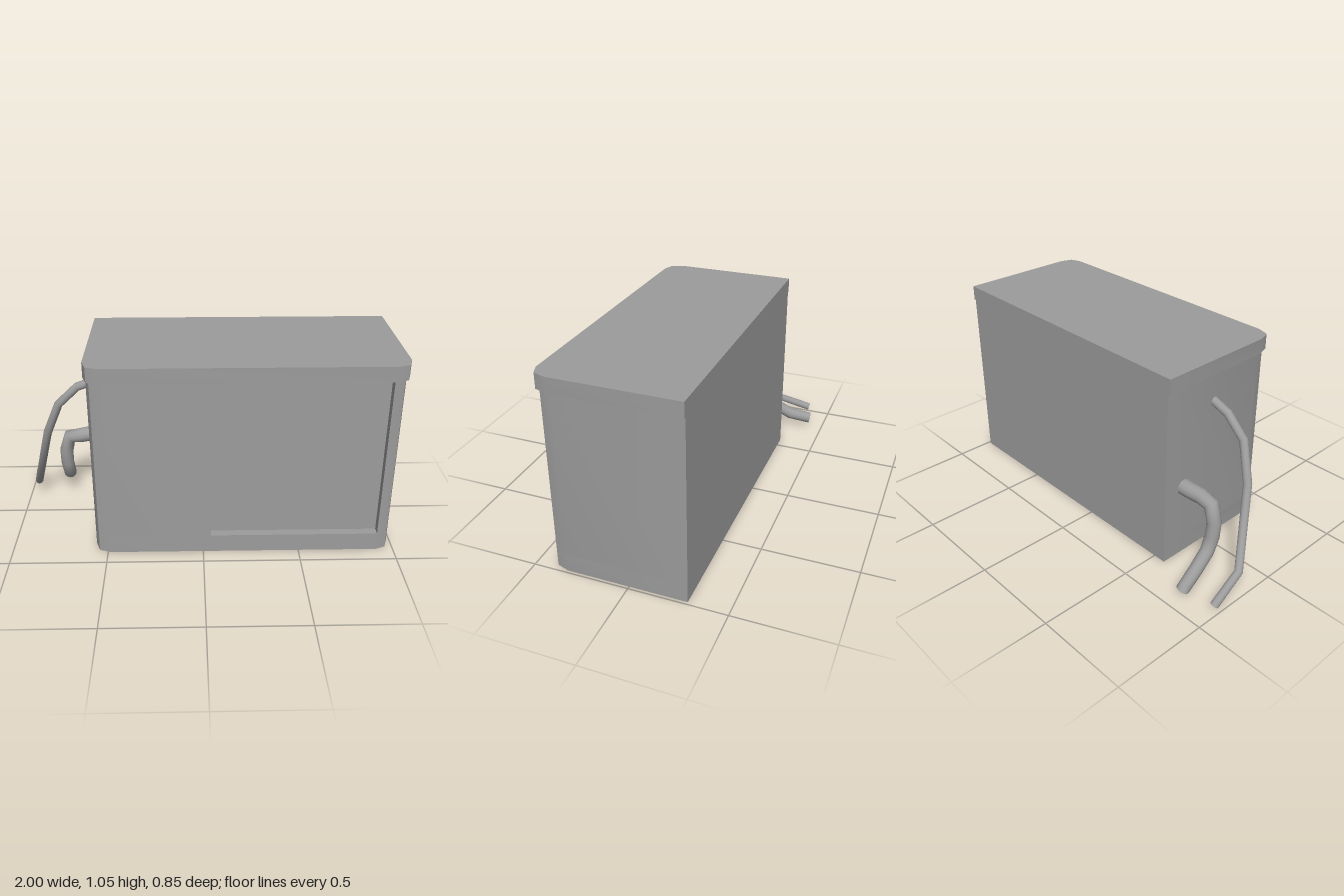
import * as THREE from 'three';
import { toCreasedNormals } from 'three/addons/utils/BufferGeometryUtils.js';

const material = new THREE.MeshStandardMaterial({ color: 0x9c9c9c, side: THREE.DoubleSide });

// Extrudes a plan outline of [x, z] points from height y0 up to y1, softening the clipped corners.
function slab(name, outline, y0, y1) {
  const shape = new THREE.Shape(outline.map(([x, z]) => new THREE.Vector2(x, -z)));
  const geometry = new THREE.ExtrudeGeometry(shape, { depth: y1 - y0, bevelEnabled: false });
  geometry.rotateX(-Math.PI / 2).translate(0, y0, 0);
  const mesh = new THREE.Mesh(toCreasedNormals(geometry, 0.6), material);
  mesh.name = name;
  return mesh;
}

// Box plan with clipped front corners; extra points are inserted along the front edge.
function plan(x0, x1, back, front, extra = []) {
  return [
    [x0, back], [x0, front - 0.085], [x0 + 0.022, front - 0.021], [x0 + 0.085, front],
    ...extra,
    [x1 - 0.075, front], [x1 - 0.022, front - 0.021], [x1, front - 0.085], [x1, back],
  ];
}

// Open-ended pipe with one ring at each point, tapering from radius r0 to r1.
function pipe(name, points, r0, r1) {
  const curve = new THREE.CatmullRomCurve3(points.map((p) => new THREE.Vector3(...p)));
  curve.getPointAt = curve.getPoint;
  curve.getTangentAt = curve.getTangent;
  const segments = points.length - 1, sides = 12;
  const geometry = new THREE.TubeGeometry(curve, segments, r0, sides, false);
  const position = geometry.attributes.position, v = new THREE.Vector3();
  for (let i = 0; i <= segments; i++) {
    const centre = curve.getPoint(i / segments);
    const scale = 1 + (r1 / r0 - 1) * (i / segments);
    for (let j = 0; j <= sides; j++) {
      const k = i * (sides + 1) + j;
      v.fromBufferAttribute(position, k).sub(centre).multiplyScalar(scale).add(centre);
      position.setXYZ(k, v.x, v.y, v.z);
    }
  }
  const mesh = new THREE.Mesh(geometry, material);
  mesh.name = name;
  return mesh;
}

export function createModel() {
  const group = new THREE.Group();
  group.name = 'cabinetUnit';

  // Cabinet: solid plinth, then the walls with a recessed front panel
  const back = -0.297, front = 0.412, sill = 0.098, top = 0.967, depth = 0.045;
  const left = [0.04, front], right = [0.909, front];
  const recess = [left, [0.04, front - depth], [0.909, front - depth], right];
  group.add(slab('plinth', plan(-0.567, 0.985, back, front, [left, right]), 0, sill));
  group.add(slab('cabinetWithRecess', plan(-0.567, 0.985, back, front, recess), sill, top));

  // Lid overhangs the sides and front, flush at the back
  group.add(slab('lid', plan(-0.578, 0.996, back, 0.425), top, 1.046));

  // Pipes leaving the side and bending down and backwards
  group.add(pipe('thinPipe', [
    [-0.56, 0.815, 0.025], [-0.655, 0.78, 0.025], [-0.76, 0.68, 0.025], [-0.84, 0.49, -0.02],
    [-0.945, 0.1, -0.17], [-0.978, 0.042, -0.375],
  ], 0.023, 0.022));
  group.add(pipe('thickPipe', [
    [-0.56, 0.405, -0.17], [-0.62, 0.405, -0.17], [-0.68, 0.398, -0.16], [-0.745, 0.388, -0.165],
    [-0.77, 0.3, -0.165], [-0.772, 0.22, -0.175], [-0.765, 0.135, -0.2], [-0.782, 0.08, -0.3],
    [-0.812, 0.054, -0.418],
  ], 0.043, 0.033));

  return group;
}
